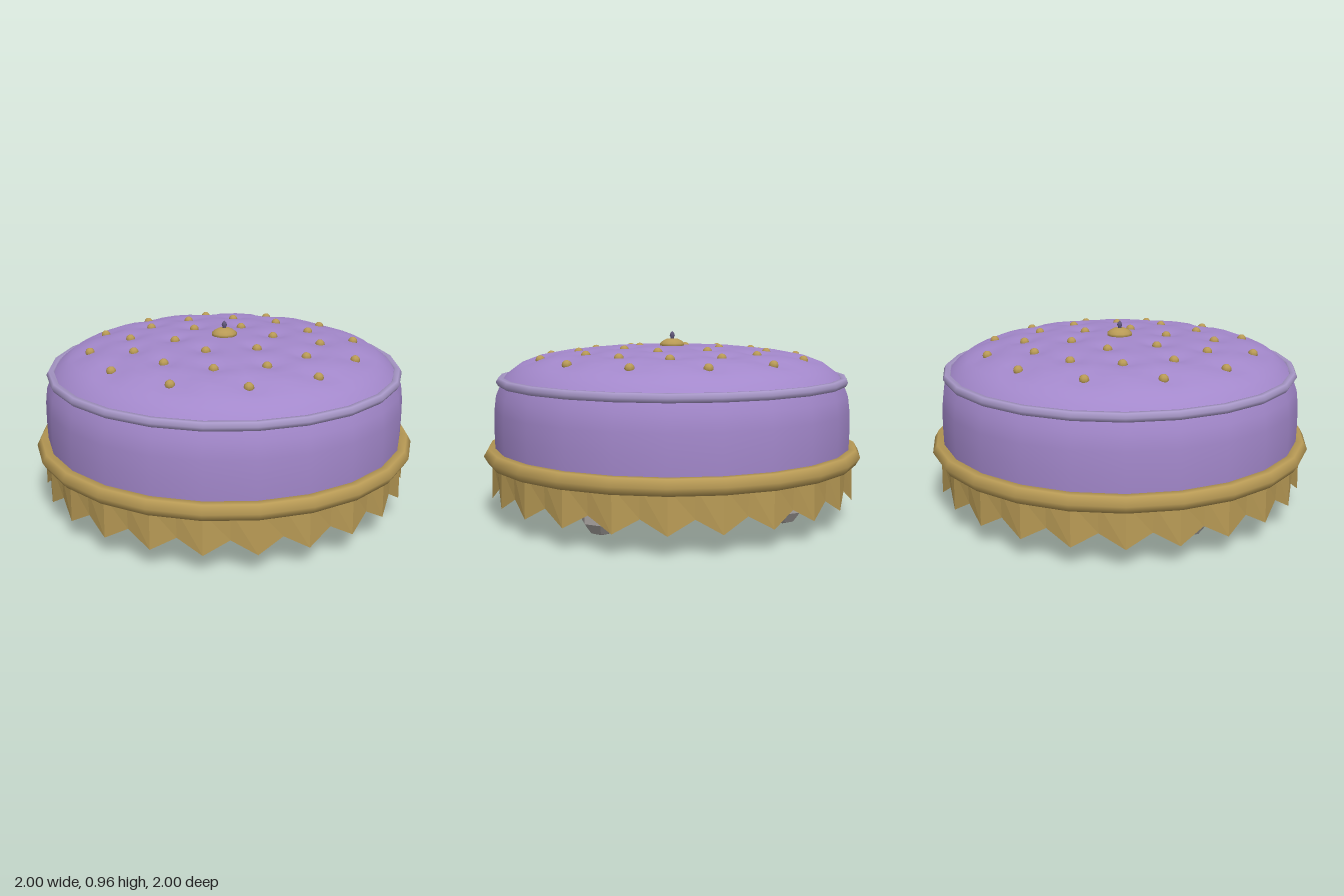
import * as THREE from 'three';
import { mergeVertices } from 'three/addons/utils/BufferGeometryUtils.js';

const SIDES = 24;
const mat = (name, color, extra = {}) => Object.assign(new THREE.MeshStandardMaterial({ color, ...extra }), { name });

// Button rings on the cushion: radius, count, starting angle
const RINGS = [[0.26, 6, Math.PI / 2], [0.5, 12, Math.PI / 12], [0.7, 12, 0]];
const buttons = RINGS.flatMap(([r, n, a0]) => Array.from({ length: n }, (_, i) => {
  const a = a0 + (i / n) * Math.PI * 2;
  return [r * Math.sin(a), r * Math.cos(a)];
}));

// Height of the smooth dome, and of the tufted cushion, above the floor
const DOME = [[0, 0.885], [0.2, 0.882], [0.42, 0.871], [0.58, 0.855], [0.7, 0.835], [0.8, 0.797], [0.87, 0.745], [0.905, 0.7]];
function domeHeight(r) {
  for (let i = 1; i < DOME.length; i++) {
    const [r0, y0] = DOME[i - 1], [r1, y1] = DOME[i];
    if (r <= r1) return y0 + ((y1 - y0) * (r - r0)) / (r1 - r0);
  }
  return DOME[DOME.length - 1][1];
}
function cushionHeight(x, z) {
  let y = domeHeight(Math.hypot(x, z));
  for (const [bx, bz] of buttons) {
    const d = Math.hypot(x - bx, z - bz);
    y -= 0.022 * Math.exp(-(d * d) / 0.004);
  }
  return y;
}

// Lathe with welded seam and smooth normals; optional rule moves each vertex
function smoothLathe(points, sides, rule) {
  let g = new THREE.LatheGeometry(points.map(p => new THREE.Vector2(...p)), sides);
  g.deleteAttribute('uv');
  g.deleteAttribute('normal');
  g = mergeVertices(g, 1e-4);
  const p = g.attributes.position;
  if (rule) for (let i = 0; i < p.count; i++) p.setY(i, rule(p.getX(i), p.getZ(i)));
  g.computeVertexNormals();
  return g;
}

// Pleated skirt with a zigzag hem
function skirtGeometry() {
  const n = SIDES * 2, pos = [], idx = [];
  for (let i = 0; i <= n; i++) {
    const a = (i / n) * Math.PI * 2, tip = i % 2 === 0;
    const top = tip ? 0.957 : 0.945, hem = tip ? 0.962 : 0.94;
    pos.push(top * Math.sin(a), 0.32, top * Math.cos(a));
    pos.push(hem * Math.sin(a), tip ? 0.105 : 0.175, hem * Math.cos(a));
    if (i < n) {
      const k = i * 2;
      idx.push(k, k + 1, k + 3, k, k + 3, k + 2);
    }
  }
  const g = new THREE.BufferGeometry();
  g.setAttribute('position', new THREE.Float32BufferAttribute(pos, 3));
  g.setIndex(idx);
  const flat = g.toNonIndexed();
  flat.computeVertexNormals();
  return flat;
}

export function createModel() {
  const model = new THREE.Group();
  model.name = 'ottoman';
  const purple = mat('purple fabric', 0xa388cb);
  const lilac = mat('lilac piping', 0xa898c8);
  const gold = mat('gold trim', 0xb89a55);
  const goldCloth = mat('gold cloth', 0xb89a55, { side: THREE.DoubleSide, flatShading: true });
  const grey = mat('grey feet', 0xaaa5a2, { flatShading: true });
  const dark = mat('dark finial', 0x61587a);

  const add = (name, geometry, material, x = 0, y = 0, z = 0) => {
    const m = new THREE.Mesh(geometry, material);
    m.name = name;
    m.position.set(x, y, z);
    model.add(m);
    return m;
  };
  const ring = (name, radius, tube, y, material) => {
    const g = new THREE.TorusGeometry(radius, tube, 6, SIDES);
    g.rotateX(Math.PI / 2);
    add(name, g, material, 0, y);
  };

  // Upholstered drum and its underside
  add('drum', smoothLathe([[0.93, 0.215], [0.94, 0.36], [0.942, 0.46], [0.94, 0.56], [0.93, 0.64], [0.9, 0.71]], SIDES), purple);
  const base = new THREE.CircleGeometry(0.93, SIDES);
  base.rotateX(Math.PI / 2);
  add('underside', base, purple, 0, 0.215);

  // Tufted cushion, sampled from rim to centre
  const radii = [0.905, 0.87, 0.835, 0.8, 0.75];
  for (let r = 0.7; r > 0.03; r -= 0.04) radii.push(r);
  radii.push(0);
  add('cushion', smoothLathe(radii.map(r => [r, 0]), SIDES * 2, cushionHeight), purple);

  // Piping, trim and skirt
  ring('piping', 0.905, 0.024, 0.71, lilac);
  ring('trimRing', 0.955, 0.045, 0.327, gold);
  add('skirt', skirtGeometry(), goldCloth);

  // Tufting buttons
  const buttonGeometry = new THREE.SphereGeometry(0.025, 8, 6);
  for (const [x, z] of buttons) add('button', buttonGeometry, gold, x, cushionHeight(x, z) + 0.006, z);

  // Centre button with finial
  add('centreButton', smoothLathe([[0.05, 0.868], [0.066, 0.882], [0.066, 0.897], [0.05, 0.91], [0.03, 0.92], [0, 0.922]], 12), gold);
  add('finial', smoothLathe([[0.009, 0.915], [0.009, 0.928], [0.014, 0.938], [0.01, 0.95], [0, 0.96]], 8), dark);

  // Faceted ball feet
  const foot = new THREE.SphereGeometry(0.103, 7, 5);
  for (const x of [-0.465, 0.465])
    for (const z of [-0.465, 0.465]) add('foot', foot, grey, x, 0.103, z);

  return model;
}
